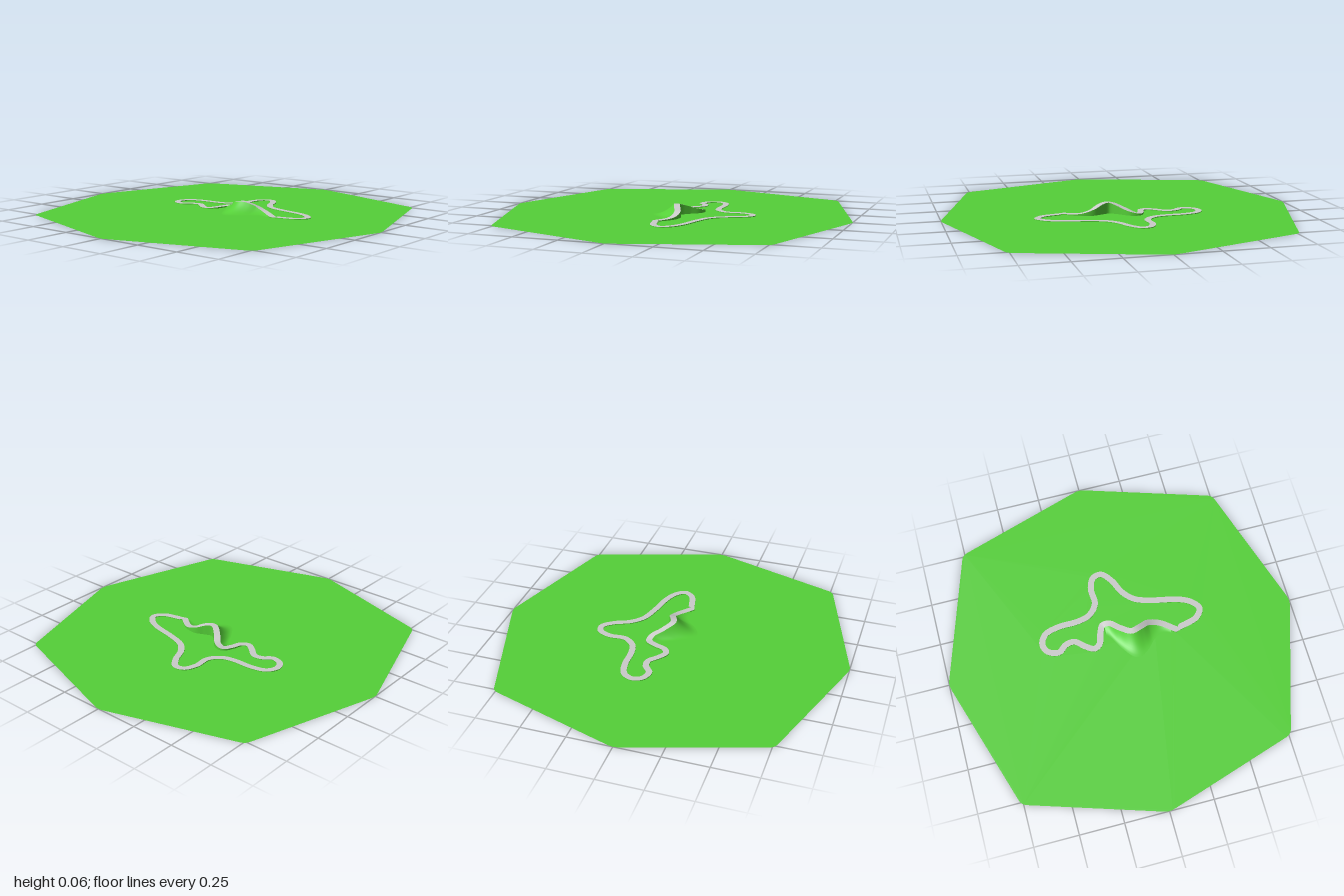
import * as THREE from 'three';

const HALF_WIDTH = 0.0175, SAMPLES = 240;
const green = new THREE.MeshStandardMaterial({ color: 0x55d038, side: THREE.DoubleSide });
const grey = new THREE.MeshStandardMaterial({ color: 0xcccccc, side: THREE.DoubleSide });

// Centreline of the circuit as [x, z]
const route = [
  [-0.008, 0.325], [0.055, 0.235], [0.065, 0.17], [0.045, 0.12], [0.03, 0.065], [0.07, 0.01],
  [0.12, -0.04], [0.125, -0.08], [0.08, -0.105], [0.02, -0.125], [0, -0.16], [0.025, -0.205],
  [0.07, -0.26], [0.065, -0.31], [0.03, -0.36], [0.05, -0.42], [0.1, -0.44], [0.155, -0.41],
  [0.18, -0.33], [0.185, -0.21], [0.205, -0.14], [0.265, -0.09], [0.36, -0.09], [0.425, -0.06],
  [0.435, -0.01], [0.38, 0.04], [0.295, 0.08], [0.235, 0.14], [0.2, 0.245], [0.17, 0.38],
  [0.135, 0.45], [0.085, 0.485], [0.035, 0.45], [0.012, 0.38], [0.005, 0.345],
];

// Surface joining equally long rows of points
function loft(name, rows, material, closed) {
  const n = rows[0].length, pos = rows.flat().flatMap((p) => p.toArray()), index = [];
  for (let r = 0; r < rows.length - 1; r++) {
    for (let i = 0; i < (closed ? n : n - 1); i++) {
      const j = (i + 1) % n, a = r * n + i, b = r * n + j;
      index.push(a, b, a + n, b, b + n, a + n);
    }
  }
  const g = new THREE.BufferGeometry();
  g.setAttribute('position', new THREE.Float32BufferAttribute(pos, 3));
  g.setIndex(index);
  g.computeVertexNormals();
  const mesh = new THREE.Mesh(g, material);
  mesh.name = name;
  return mesh;
}

// Flat ground from a shape drawn with y = -z
function flat(name, shape) {
  const mesh = new THREE.Mesh(new THREE.ShapeGeometry(shape, 6).rotateX(-Math.PI / 2), green);
  mesh.name = name;
  return mesh;
}

// Eight-sided plot with slightly rounded corners
function plotShape() {
  const corners = [];
  for (let i = 0; i < 8; i++) {
    const r = i % 2 ? 0.762 * Math.SQRT2 : 1.004, a = (i * Math.PI) / 4;
    corners.push(new THREE.Vector2(Math.cos(a) * r, Math.sin(a) * r));
  }
  const shape = new THREE.Shape();
  corners.forEach((c, i) => {
    const toward = (k) => corners[(i + k) % 8].clone().sub(c).setLength(0.03).add(c);
    const before = toward(7), after = toward(1);
    if (i === 0) shape.moveTo(before.x, before.y);
    else shape.lineTo(before.x, before.y);
    shape.quadraticCurveTo(c.x, c.y, after.x, after.y);
  });
  shape.closePath();
  return shape;
}

export function createModel() {
  const model = new THREE.Group();
  model.name = 'raceCircuit';

  // Track edges, raised where the route climbs the hill
  const curve = new THREE.CatmullRomCurve3(route.map(([x, z]) => new THREE.Vector3(x, 0, z)));
  const outer = [], inner = [], rise = [];
  for (let i = 0; i <= SAMPLES; i++) {
    const u = i / SAMPLES, p = curve.getPoint(u), t = curve.getTangent(u);
    const h = u < 0.33 ? 0.058 * Math.exp(-(((p.z - 0.08) / 0.11) ** 2)) : 0;
    const side = new THREE.Vector3(t.z, 0, -t.x).setLength(HALF_WIDTH);
    p.y = 0.004 + h;
    rise.push(h);
    outer.push(p.clone().add(side));
    inner.push(p.clone().sub(side));
  }
  model.add(loft('track', [outer, inner], grey, true));

  // Banks from the track edges down to the ground
  const drop = (edge) => edge.map((p) => new THREE.Vector3(p.x, 0, p.z));
  model.add(loft('outerBank', [outer, drop(outer)], green, true));
  model.add(loft('innerBank', [inner, drop(inner)], green, true));

  // Ground outside and inside the circuit
  const to2D = (edge) => edge.map((p) => new THREE.Vector2(p.x, -p.z));
  const plot = plotShape();
  plot.holes.push(new THREE.Path(to2D(outer)));
  model.add(flat('ground', plot));
  model.add(flat('infield', new THREE.Shape(to2D(inner))));

  // Hillside falling away from the raised stretch
  const crest = outer.map((p, i) => ({ p, h: rise[i] })).filter(({ p, h }) => h > 0.001 && p.z > -0.08);
  const rows = [];
  for (let k = 0; k <= 8; k++) {
    const s = k / 8;
    rows.push(crest.map(({ p, h }) => new THREE.Vector3(
      p.x - 0.125 * Math.sqrt(h / 0.058) * s, 0.0005 + (p.y - 0.0005) * (1 - s) ** 2, p.z)));
  }
  model.add(loft('hillside', rows, green, false));

  return model;
}
